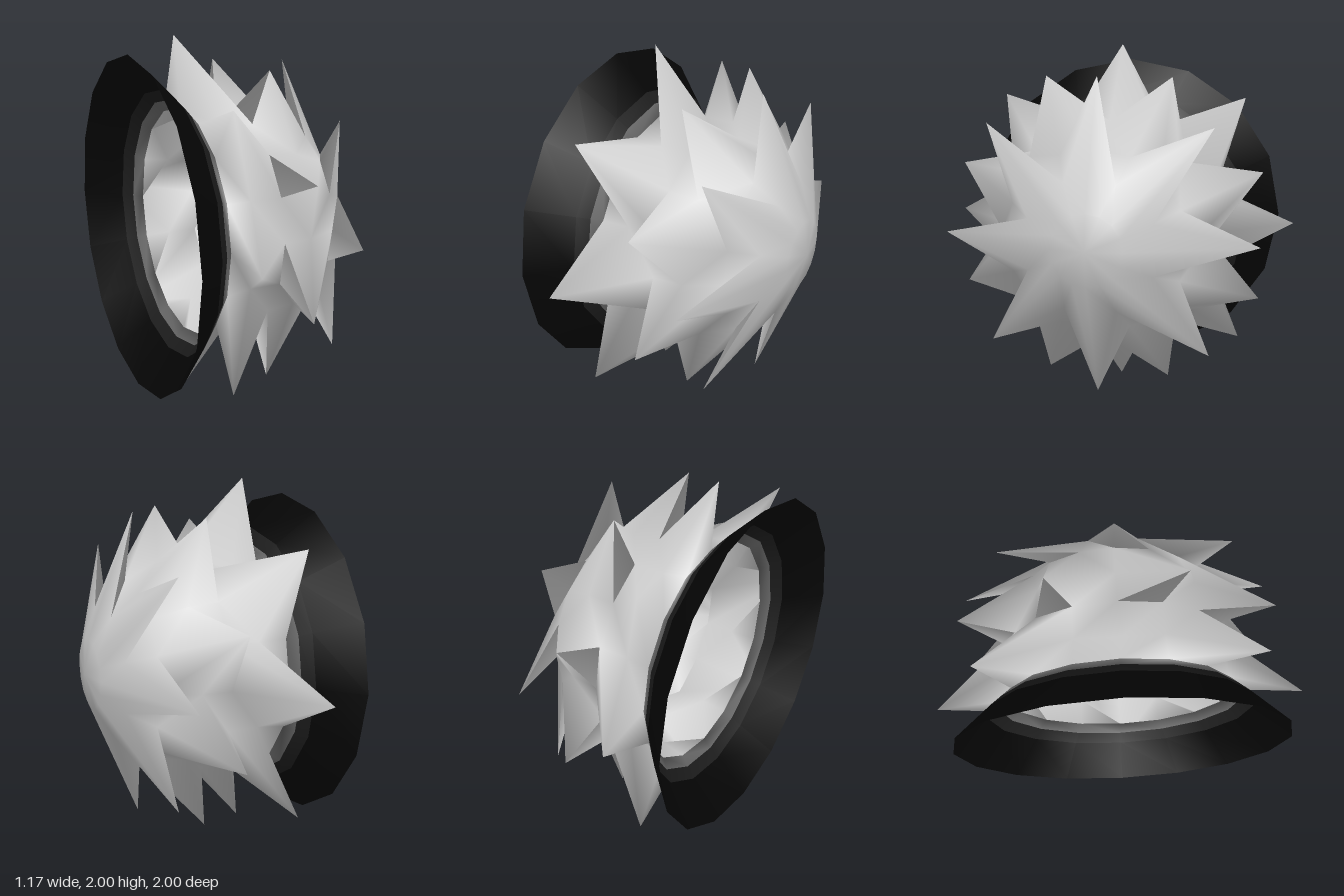
import * as THREE from 'three';

const SIDES = 16;

// Rings from the dome to the flared rim: distance along x, radius and,
// where every other vertex is drawn out into a spike, its tip.
const RINGS = [
  { x: 0.555, r: 0.19 },
  { x: 0.473, r: 0.355, tip: { x: 0.295, r: 0.85, odd: 0 } },
  { x: 0.347, r: 0.485 },
  { x: 0.16, r: 0.58, tip: { x: 0.035, r: 0.905, odd: 1 } },
  { x: 0, r: 0.595 },
  { x: -0.17, r: 0.595, tip: { x: -0.34, r: 1.0, odd: 0 } },
  { x: -0.31, r: 0.62 },
  { x: -0.355, r: 0.67 },
  { x: -0.405, r: 0.725 },
  { x: -0.59, r: 0.91 },
];

// Index of a ring vertex; vertex 0 is the pole of the dome
const at = (ring, i) => 1 + ring * SIDES + (i % SIDES);

// Triangles joining one ring to the next
function band(ring) {
  const index = [];
  for (let i = 0; i < SIDES; i++) {
    const a = at(ring, i), b = at(ring, i + 1);
    const c = at(ring + 1, i), d = at(ring + 1, i + 1);
    // the diagonals lean the other way on the rear half
    if (ring < 3) index.push(a, b, c, b, d, c);
    else index.push(a, b, d, a, d, c);
  }
  return index;
}

export function createModel() {
  const group = new THREE.Group();
  group.name = 'spikyShell';

  // All ring vertices around the x axis
  const points = [0.585, 1, 0];
  for (const ring of RINGS) {
    for (let i = 0; i < SIDES; i++) {
      const p = ring.tip && i % 2 === ring.tip.odd ? ring.tip : ring;
      const angle = (i / SIDES) * Math.PI * 2;
      points.push(p.x, 1 + p.r * Math.sin(angle), p.r * Math.cos(angle));
    }
  }

  // Dome cap, then the bands
  const cap = [];
  for (let i = 0; i < SIDES; i++) cap.push(0, at(0, i + 1), at(0, i));
  const bands = RINGS.slice(1).map((_, ring) => band(ring));

  // Smooth normals are shared by all parts so that the joins do not show
  const whole = new THREE.BufferGeometry();
  whole.setAttribute('position', new THREE.Float32BufferAttribute(points, 3));
  whole.setIndex([cap, ...bands].flat());
  whole.computeVertexNormals();

  const addPart = (name, color, index) => {
    const geometry = new THREE.BufferGeometry();
    geometry.setAttribute('position', whole.getAttribute('position'));
    geometry.setAttribute('normal', whole.getAttribute('normal'));
    geometry.setIndex(index);
    const material = new THREE.MeshStandardMaterial({ color, side: THREE.DoubleSide });
    const mesh = new THREE.Mesh(geometry, material);
    mesh.name = name;
    group.add(mesh);
  };

  addPart('spikedDome', 0xcccccc, [cap, ...bands.slice(0, 6)].flat());
  // The neck darkens towards the black flared rim
  addPart('neckFront', 0x666666, bands[6]);
  addPart('neckRear', 0x1c1c1c, bands[7]);
  addPart('flaredRim', 0x050505, bands[8]);

  return group;
}
